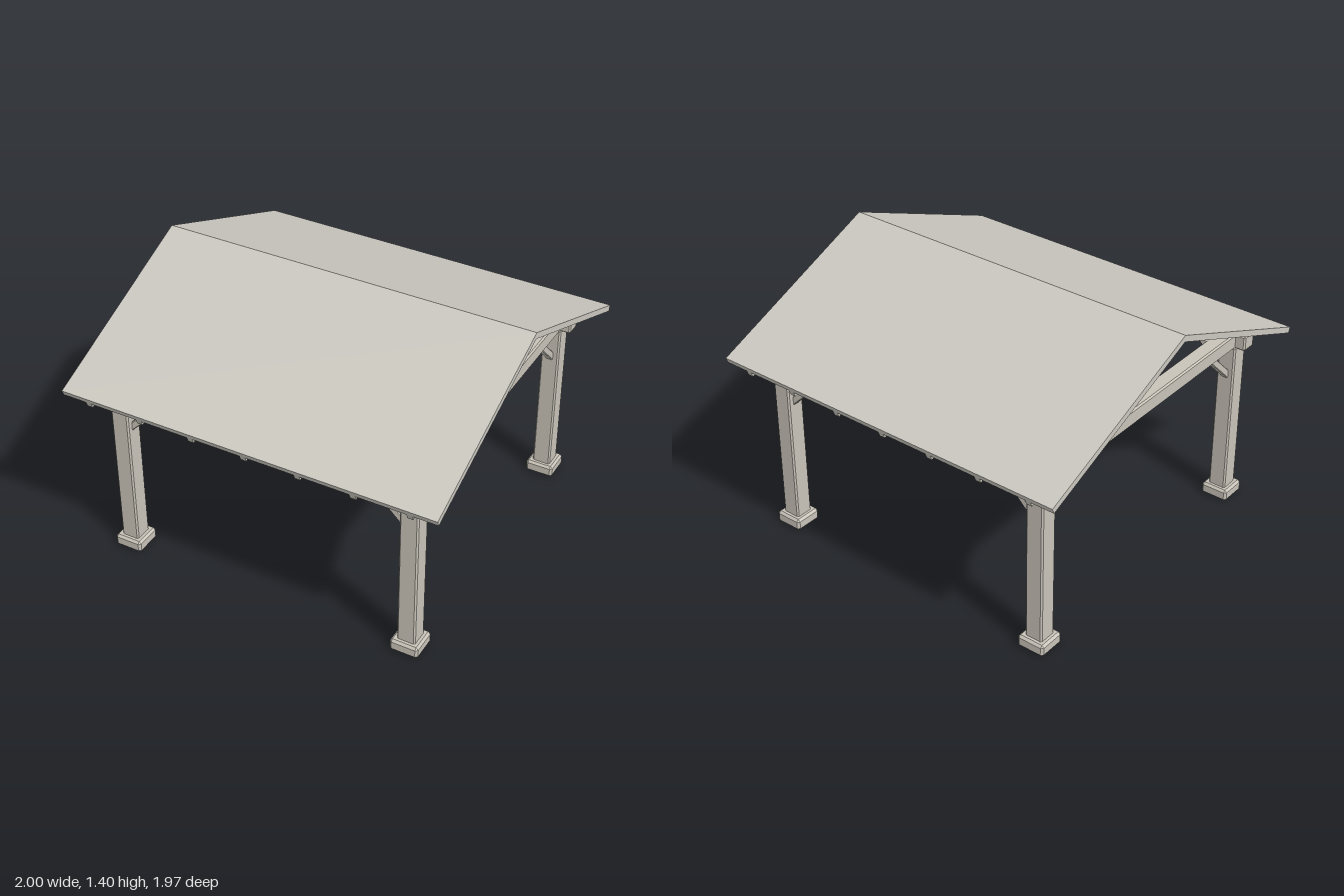
import * as THREE from 'three';
import { ConvexGeometry } from 'three/addons/geometries/ConvexGeometry.js';

const SLOPE = Math.atan(0.413);
const POST = 0.788; // post centre offset in x and z
const EAVE = 0.985;

// Box with chamfered edges, centred on the origin
function chamferBox(w, h, d, c) {
  const half = [w / 2, h / 2, d / 2];
  const points = [];
  for (const sx of [-1, 1]) for (const sy of [-1, 1]) for (const sz of [-1, 1]) {
    for (let full = 0; full < 3; full++) {
      const p = [sx, sy, sz].map((s, i) => s * (half[i] - (i === full ? 0 : c)));
      points.push(new THREE.Vector3(...p));
    }
  }
  return new ConvexGeometry(points);
}

// Gable-shaped strip running along x: "top" and "bottom" are depths
// measured square to the roof slope
function gableStrip(width, top, bottom) {
  const cos = Math.cos(SLOPE), sin = Math.sin(SLOPE), tan = Math.tan(SLOPE);
  const ridge = (depth) => [0, 1.4 - depth / cos];
  const eave = (depth, side) => [
    side * (EAVE - depth * sin),
    1.4 - EAVE * tan - depth * cos,
  ];
  const outline = [
    ridge(top), eave(top, -1), eave(bottom, -1),
    ridge(bottom), eave(bottom, 1), eave(top, 1),
  ].map((p) => new THREE.Vector2(...p));
  const geo = new THREE.ExtrudeGeometry(new THREE.Shape(outline), { depth: width, bevelEnabled: false });
  geo.translate(0, 0, -width / 2);
  geo.rotateY(Math.PI / 2);
  return geo;
}

export function createModel() {
  const model = new THREE.Group();
  model.name = 'pavilion';
  const wood = new THREE.MeshStandardMaterial({ color: 0xc8c3b8 });
  wood.name = 'pale timber';
  const roofing = new THREE.MeshStandardMaterial({ color: 0xcbc8c0 });
  roofing.name = 'roof grey';

  const add = (parent, name, geo, mat, x = 0, y = 0, z = 0) => {
    const mesh = new THREE.Mesh(geo, mat);
    mesh.name = name;
    mesh.position.set(x, y, z);
    parent.add(mesh);
    return mesh;
  };

  // Four corners: footing, post and two diagonal braces
  const footingGeo = chamferBox(0.15, 0.065, 0.15, 0.012);
  const postGeo = chamferBox(0.097, 0.87, 0.097, 0.008);
  const from = new THREE.Vector2(0.765, 0.735);
  const to = new THREE.Vector2(0.583, 0.912);
  const run = to.clone().sub(from);
  const mid = from.clone().add(to).multiplyScalar(0.5);
  const braceGeo = chamferBox(run.length(), 0.036, 0.036, 0.004);
  braceGeo.rotateZ(Math.atan2(run.y, run.x));
  braceGeo.translate(mid.x - POST, mid.y, 0);

  for (const sx of [-1, 1]) for (const sz of [-1, 1]) {
    const corner = new THREE.Group();
    corner.name = 'cornerPost';
    corner.position.set(sx * POST, 0, sz * POST);
    add(corner, 'footing', footingGeo, wood, 0, 0.0375 - 0.005, 0);
    add(corner, 'post', postGeo, wood, 0, 0.485, 0);
    // Braces lean toward the centre along x and along z
    add(corner, 'braceAlongX', braceGeo, wood).rotation.y = sx > 0 ? 0 : Math.PI;
    add(corner, 'braceAlongZ', braceGeo, wood).rotation.y = -sz * Math.PI / 2;
    model.add(corner);
  }

  // Perimeter beams crossing over the posts
  const beamX = chamferBox(1.77, 0.084, 0.084, 0.008);
  const beamZ = chamferBox(0.084, 0.084, 1.77, 0.008);
  for (const s of [-1, 1]) {
    add(model, 'sideBeam', beamX, wood, 0, 0.957, s * POST);
    add(model, 'tieBeam', beamZ, wood, s * POST, 0.957, 0);
  }

  // Ridge beam and its central king post
  add(model, 'ridgeBeam', chamferBox(1.77, 0.066, 0.066, 0.008), wood, 0, 1.312, 0);
  add(model, 'kingPost', chamferBox(0.066, 0.32, 0.066, 0.006), wood, 0, 1.156, 0);

  // Rafters under the roof
  const rafterGeo = gableStrip(0.03, 0.032, 0.062);
  for (let i = -3; i <= 3; i++) add(model, 'rafterPair', rafterGeo, wood, i * 0.2855, 0, 0);

  // Roof panels
  add(model, 'roof', gableStrip(2, 0, 0.032), roofing);

  return model;
}
